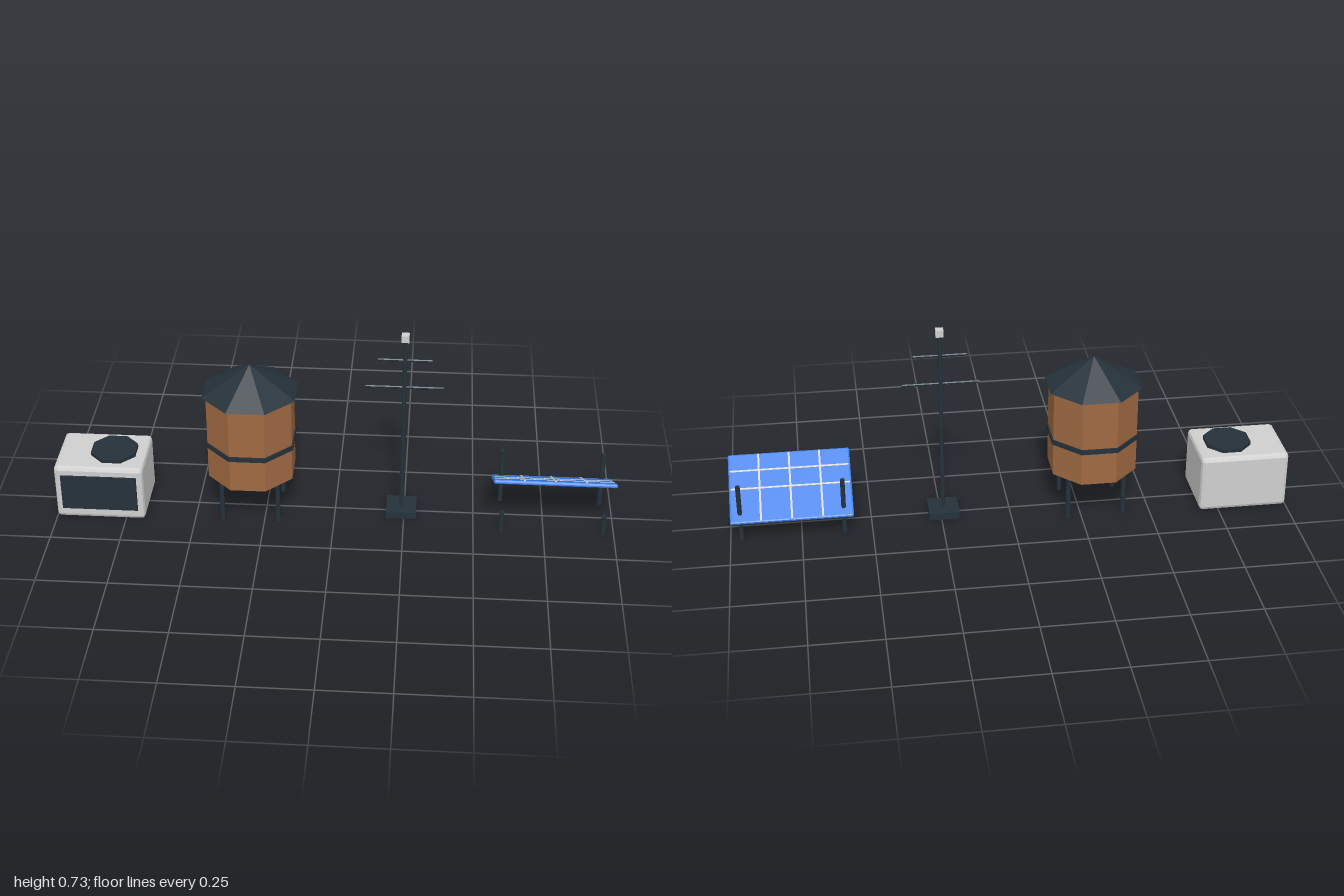
import * as THREE from 'three';
import { RoundedBoxGeometry } from 'three/addons/geometries/RoundedBoxGeometry.js';

const mat = (name, color) => {
  const m = new THREE.MeshStandardMaterial({ color });
  m.name = name;
  return m;
};

export function createModel() {
  const dark = mat('dark slate', 0x25313a);
  const wood = mat('brown wood', 0xa06a42);
  const grey = mat('light grey', 0xd0d0d0);
  const blue = mat('panel blue', 0x3d7fe6);
  const model = new THREE.Group();
  model.name = 'rooftopEquipment';

  const group = (name, x) => {
    const g = new THREE.Group();
    g.name = name;
    g.position.x = x;
    model.add(g);
    return g;
  };
  const add = (parent, name, geometry, material, x = 0, y = 0, z = 0) => {
    const flat = geometry.index ? geometry.toNonIndexed() : geometry;
    flat.computeVertexNormals();
    const m = new THREE.Mesh(flat, material);
    m.name = name;
    m.position.set(x, y, z);
    parent.add(m);
    return m;
  };
  const box = (w, h, d) => new THREE.BoxGeometry(w, h, d);
  // Eight-sided prism, its flats facing the axes; a is the distance to a flat
  const octagon = (a, h, topScale = 1) => {
    const r = a / Math.cos(Math.PI / 8);
    return new THREE.CylinderGeometry(r * topScale, r, h, 8).rotateY(Math.PI / 8);
  };

  // Cooling unit with grille and fan
  const cooler = group('coolingUnit', -0.84);
  add(cooler, 'casing', new RoundedBoxGeometry(0.32, 0.212, 0.24, 1, 0.014), grey, 0, 0.106);
  add(cooler, 'frontGrille', box(0.272, 0.138, 0.009), dark, 0, 0.11, 0.1215);
  add(cooler, 'fan', octagon(0.08, 0.014), dark, 0.042, 0.219);

  // Water tank on four legs
  const tank = group('waterTank', -0.3);
  add(tank, 'barrel', octagon(0.15, 0.327), wood, 0, 0.3265);
  add(tank, 'band', octagon(0.155, 0.018), dark, 0, 0.295);
  add(tank, 'roof', octagon(0.163, 0.103, 0), dark, 0, 0.5405);
  for (const x of [-0.1, 0.1]) for (const z of [-0.1, 0.1]) {
    add(tank, 'tankLeg', octagon(0.008, 0.165), dark, x, 0.0825, z);
  }

  // Antenna mast with two crossarms
  const mast = group('antennaMast', 0.24);
  add(mast, 'mastBase', box(0.108, 0.027, 0.108), dark, 0, 0.0135);
  add(mast, 'pole', octagon(0.0075, 0.69), dark, 0, 0.365);
  add(mast, 'beacon', box(0.027, 0.026, 0.027), grey, 0, 0.718);
  for (const [y, length] of [[0.63, 0.187], [0.522, 0.272]]) {
    add(mast, 'crossarm', octagon(0.005, length).rotateZ(Math.PI / 2), dark, 0, y);
  }

  // Tilted solar panel with grid lines
  const solar = group('solarArray', 0.78);
  const panel = new THREE.Group();
  panel.name = 'solarPanel';
  panel.position.y = 0.152;
  panel.rotation.x = -Math.PI / 6;
  solar.add(panel);
  add(panel, 'panelBody', new RoundedBoxGeometry(0.432, 0.015, 0.28, 1, 0.006), blue);
  for (const i of [-1, 0, 1]) {
    add(panel, 'columnLine', box(0.007, 0.003, 0.27), grey, i * 0.108, 0.0078, 0);
  }
  for (const i of [0, 1]) {
    add(panel, 'rowLine', box(0.42, 0.003, 0.007), grey, 0, 0.0076, i * 0.073 - 0.004);
  }

  // Short front legs and tall rear legs
  for (const x of [-0.181, 0.181]) {
    add(solar, 'frontLeg', octagon(0.008, 0.08), dark, x, 0.04, 0.1);
    add(solar, 'rearLeg', octagon(0.008, 0.217), dark, x, 0.1085, -0.09);
  }
  return model;
}
